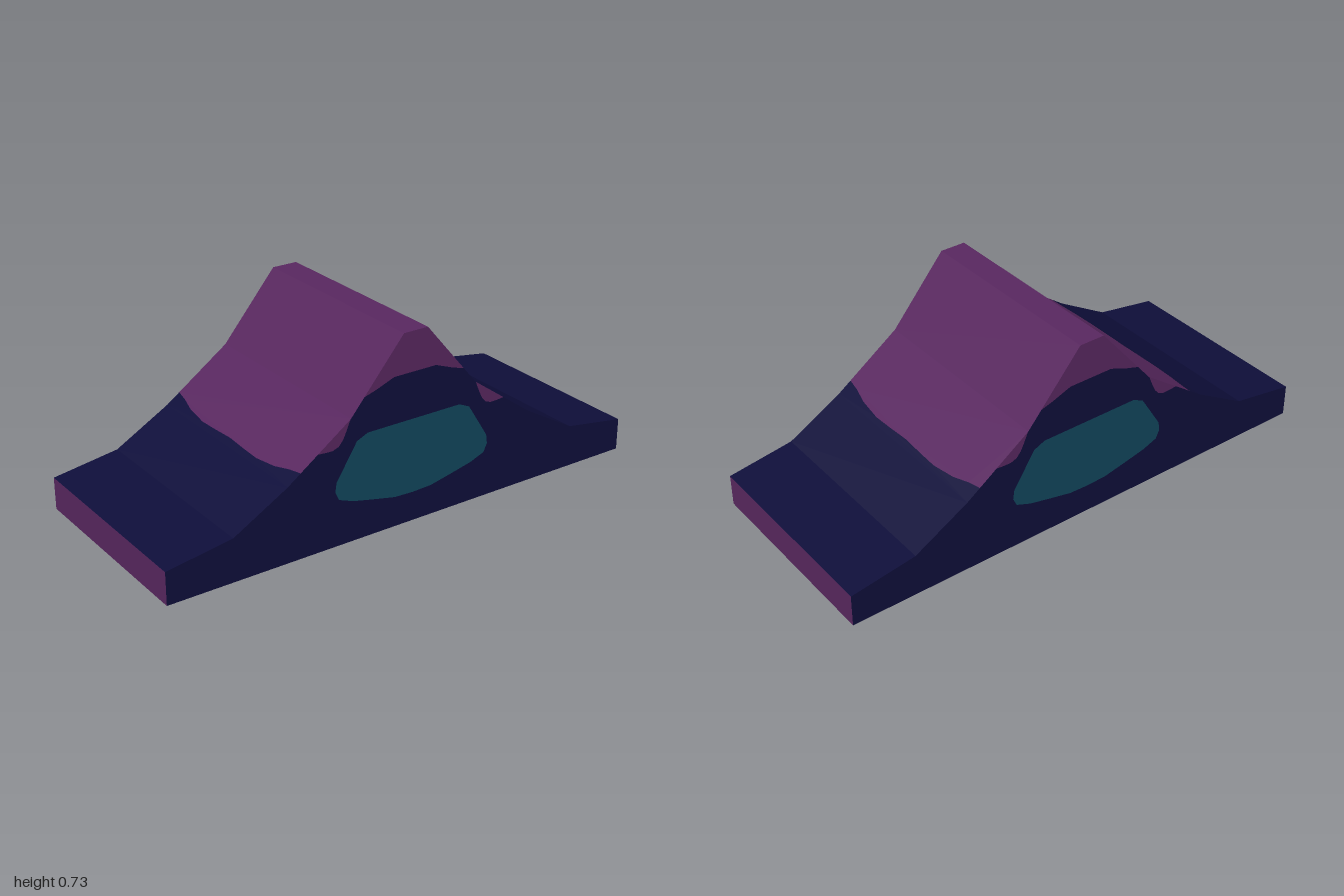
import * as THREE from 'three';

const W = 0.405; // half width
// Front half of the ridge profile as [z, y], from foot to crest
const PROFILE = [[1, 0.126], [0.743, 0.166], [0.528, 0.288], [0.27, 0.47], [0.051, 0.729]];

const material = (name, color) => {
  const m = new THREE.MeshStandardMaterial({ color });
  m.name = name;
  return m;
};

// Surface height at z, following the profile
function height(z) {
  for (let i = 0; i < PROFILE.length - 1; i++) {
    const [z0, y0] = PROFILE[i], [z1, y1] = PROFILE[i + 1];
    if (z >= z1 - 1e-6) return y0 + (y1 - y0) * (z0 - z) / (z0 - z1);
  }
  return PROFILE[PROFILE.length - 1][1];
}

const toShape = pts => new THREE.Shape(pts.map(([x, y]) => new THREE.Vector2(x, y)));
const mirrored = pts => [...pts, ...pts.filter(p => p[0] !== 0).reverse().map(([z, y]) => [-z, y])];

export function createModel() {
  const purple = material('purple', 0x58275f);
  const navy = material('navy', 0x0e0e3a);
  const teal = material('teal', 0x11465c);

  const model = new THREE.Group();
  model.name = 'ridgeBlock';
  const half = new THREE.Group();
  half.name = 'halfBlock';

  const add = (parent, name, geo, mat) => {
    const mesh = new THREE.Mesh(geo, mat);
    mesh.name = name;
    parent.add(mesh);
    return mesh;
  };

  // One sloped facet, outlined in (x, z) and lifted onto the profile
  const slope = (name, outline, mat) => {
    const geo = new THREE.ShapeGeometry(toShape(outline.map(([x, z]) => [x, -z])));
    geo.rotateX(-Math.PI / 2);
    const p = geo.attributes.position;
    for (let i = 0; i < p.count; i++) p.setY(i, height(p.getZ(i)));
    geo.computeVertexNormals();
    add(half, name, geo, mat);
  };
  const strip = (near, far) => [[-W, near], [W, near], [W, far], [-W, far]];

  // Wavy colour border across the middle facet
  const right = [[0, 0.503], [0.1, 0.507], [0.18, 0.509], [0.28, 0.499], [0.35, 0.483], [W, 0.475]];
  const border = [...right.slice(1).reverse().map(([x, z]) => [-x, z]), ...right];
  const [z0, z1, z2, z3, z4] = PROFILE.map(p => p[0]);
  slope('footSlope', strip(z0, z1), navy);
  slope('lowerSlope', strip(z1, z2), navy);
  slope('middleSlopeLower', [[-W, z2], [W, z2], ...[...border].reverse()], navy);
  slope('middleSlopeUpper', [...border, [W, z3], [-W, z3]], purple);
  slope('upperSlope', strip(z3, z4), purple);

  // Upright end
  const end = new THREE.PlaneGeometry(2 * W, PROFILE[0][1]);
  end.translate(0, PROFILE[0][1] / 2, 1);
  add(half, 'endFace', end, purple);

  // Side wall, divided into coloured regions that share their borders
  const capBorder = [[0.215, height(0.215)], [0.165, 0.55], [0.09, 0.578]];
  const spotBorder = [[0.405, height(0.405)], [0.375, 0.372], [0.345, 0.371], [0.32, 0.38],
    [0.303, 0.4], [0.288, 0.43], [0.272, height(0.272)]];
  const panel = mirrored([[0, 0.113], [0.08, 0.116], [0.17, 0.135], [0.26, 0.155], [0.32, 0.178],
    [0.335, 0.21], [0.33, 0.246], [0.245, 0.38], [0.2, 0.4]]);
  const wall = toShape(mirrored([[1, 0], ...PROFILE.slice(0, 3), ...spotBorder, PROFILE[3], ...capBorder]));
  wall.holes.push(new THREE.Path(panel.map(([x, y]) => new THREE.Vector2(x, y))));

  const side = (name, shape, mat) => {
    const geo = new THREE.ShapeGeometry(shape);
    geo.rotateY(Math.PI / 2);
    geo.translate(W, 0, 0);
    add(half, name, geo, mat);
  };
  side('sideWall', wall, navy);
  side('sidePanel', toShape(panel), teal);
  side('sideCap', toShape(mirrored([...[...capBorder].reverse(), PROFILE[4]])), purple);
  for (const s of [1, -1]) side('sideSpot', toShape(spotBorder.map(([z, y]) => [s * z, y])), purple);

  // The other half is the same, turned half way round
  const other = half.clone();
  other.rotation.y = Math.PI;
  model.add(half, other);

  // Flat crest and underside
  const crest = new THREE.PlaneGeometry(2 * W, 2 * z4);
  crest.rotateX(-Math.PI / 2);
  crest.translate(0, PROFILE[4][1], 0);
  add(model, 'crest', crest, purple);
  const base = new THREE.PlaneGeometry(2 * W, 2);
  base.rotateX(Math.PI / 2);
  add(model, 'underside', base, navy);

  return model;
}
